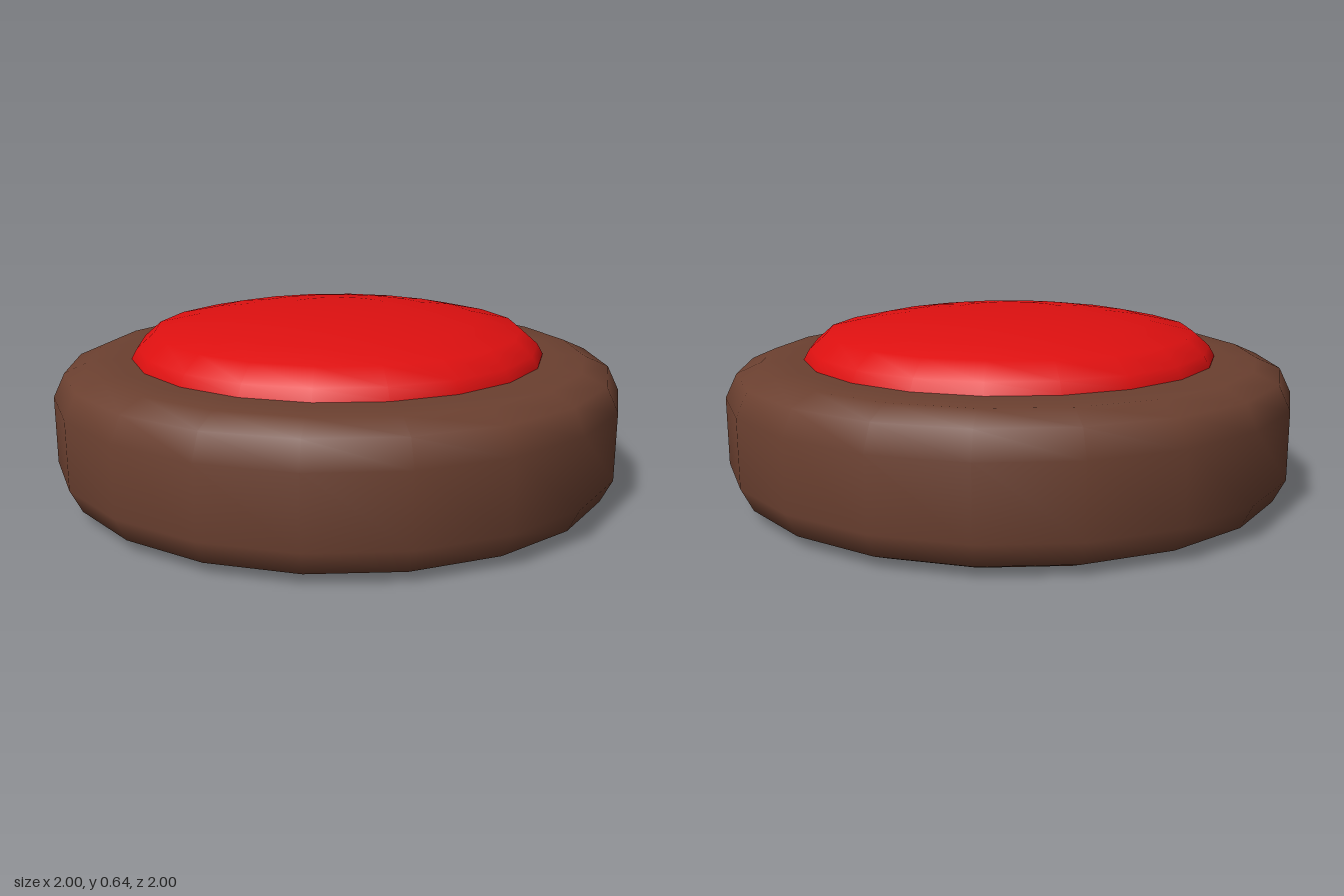
import * as THREE from 'three';

const SIDES = 20;

// Smooth 20-sided turned part from [radius, height] pairs, bottom to top
function turned(name, profile, material) {
  const points = profile.map(([r, y]) => new THREE.Vector2(r, y));
  const mesh = new THREE.Mesh(new THREE.LatheGeometry(points, SIDES), material);
  mesh.name = name;
  return mesh;
}

export function createModel() {
  const brown = new THREE.MeshStandardMaterial({ color: 0x6b4030 });
  brown.name = 'brown';
  const red = new THREE.MeshStandardMaterial({ color: 0xdd1010 });
  red.name = 'red';

  const group = new THREE.Group();
  group.name = 'pushButton';

  // Round housing with softened top and bottom rims
  group.add(turned('housing', [
    [0, 0], [0.84, 0], [0.875, 0.003], [0.96, 0.04], [1, 0.12],
    [1, 0.355], [0.96, 0.438], [0.875, 0.475], [0.78, 0.477], [0, 0.477],
  ], brown));

  // Shallow domed cap, sunk slightly into the housing
  group.add(turned('cap', [
    [0.73, 0.46], [0.73, 0.48], [0.71, 0.515], [0.65, 0.567],
    [0.5, 0.6], [0.36, 0.62], [0.2, 0.635], [0, 0.637],
  ], red));

  return group;
}
